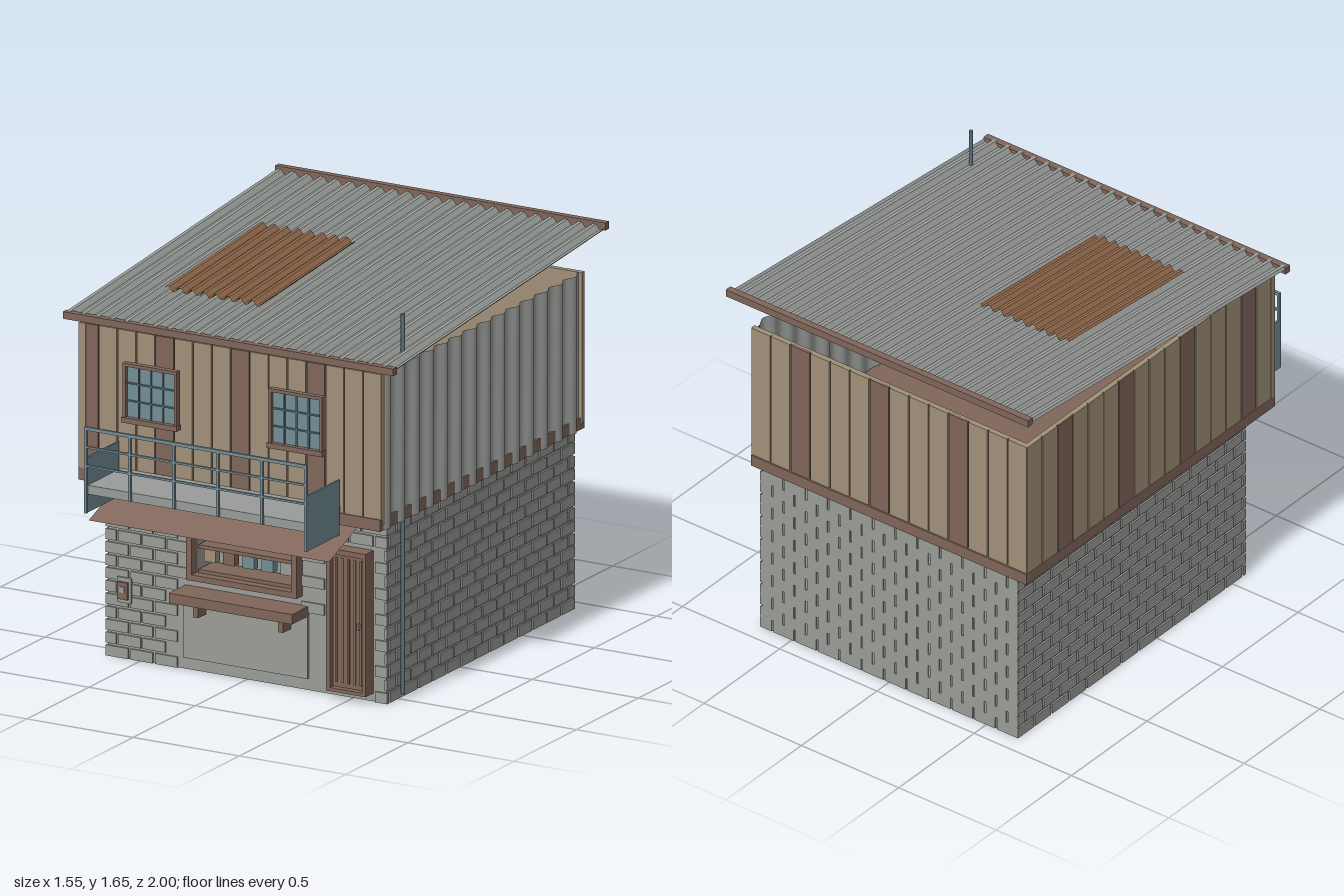
import * as THREE from 'three';
import { mergeGeometries } from 'three/addons/utils/BufferGeometryUtils.js';

const mat = (name, color, side = THREE.FrontSide) => {
  const m = new THREE.MeshStandardMaterial({ color, side });
  m.name = name;
  return m;
};

export function createModel() {
  const root = new THREE.Group();
  root.name = 'shopHouse';
  const concrete = mat('concreteGrey', 0x9a9c97);
  const metal = mat('sheetMetalGrey', 0x989c99, THREE.DoubleSide);
  const tan = mat('tanWood', 0xa09078);
  const brown = mat('brownWood', 0x80665a, THREE.DoubleSide);
  const blue = mat('paintedBlue', 0x738d95);
  const pipeBlue = mat('pipeBlue', 0x5a727a);
  const rust = mat('rustBrown', 0x946a4c, THREE.DoubleSide);

  const add = (name, geo, material, parent = root) => {
    const m = new THREE.Mesh(geo, material);
    m.name = name;
    parent.add(m);
    return m;
  };
  // Box given by its minimum and maximum on each axis
  const span = (x0, x1, y0, y1, z0, z1) =>
    new THREE.BoxGeometry(x1 - x0, y1 - y0, z1 - z0).translate((x0 + x1) / 2, (y0 + y1) / 2, (z0 + z1) / 2);
  const box = (name, material, ...s) => add(name, span(...s), material);
  const rect = (P, x0, x1, y0, y1) => new P([[x0, y0], [x1, y0], [x1, y1], [x0, y1]].map(p => new THREE.Vector2(...p)));
  // Rectangular slab with a rectangular hole, standing at z
  const framed = (outer, inner, z, depth) => {
    const s = rect(THREE.Shape, ...outer);
    s.holes.push(rect(THREE.Path, ...inner));
    return new THREE.ExtrudeGeometry(s, { depth, bevelEnabled: false }).translate(0, 0, z);
  };
  // Corrugated sheet lying in xz, ridges along z
  const corrugated = (w, l, waves, amp, sharp) => {
    const g = new THREE.PlaneGeometry(w, l, waves * 8, 1).rotateX(-Math.PI / 2);
    const p = g.attributes.position;
    for (let i = 0; i < p.count; i++) {
      const s = Math.sin((p.getX(i) / w + 0.5) * waves * Math.PI * 2) * sharp;
      p.setY(i, amp * Math.max(-1, Math.min(1, s)));
    }
    const out = sharp > 1 ? g.toNonIndexed() : g;
    out.computeVertexNormals();
    return out;
  };

  // Ground floor: solid body, front wall with the shop opening
  box('groundFloorBody', concrete, -0.655, 0.655, 0, 0.78, -0.915, 0.46);
  add('groundFloorFront', framed([-0.655, 0.655, 0, 0.78], [-0.235, 0.235, 0.42, 0.69], 0.46, 0.122), concrete);

  // Block courses, laid along u on a wall, skipping given rectangles
  const blocks = (name, u0, u1, gapY, place, skip = []) => {
    const list = [], rows = 14, h = 0.77 / rows, len = 0.115, gap = 0.01;
    for (let r = 0; r < rows; r++) {
      for (let u = u0 - (r % 2) * len / 2; u < u1 - 0.001; u += len) {
        const a = Math.max(u, u0), b = Math.min(u + len - gap, u1), y = r * h;
        if (b - a < 0.015) continue;
        if (skip.some(k => b > k[0] && a < k[1] && y + h > k[2] && y < k[3])) continue;
        list.push(place(a, b, y, y + h - gapY));
      }
    }
    add(name, mergeGeometries(list), concrete);
  };
  blocks('frontBlocks', -0.66, 0.66, 0.01, (a, b, c, d) => span(a, b, c, d, 0.575, 0.59),
    [[-0.3, 0.295, 0.05, 0.31], [-0.24, 0.24, 0.31, 0.7], [0.42, 0.585, 0.04, 0.63]]);
  blocks('backBlocks', -0.66, 0.66, 0, (a, b, c, d) => span(a, b, c, d, -0.92, -0.91));
  for (const s of [-1, 1])
    blocks(s > 0 ? 'leftBlocks' : 'rightBlocks', -0.92, 0.59, 0.01,
      (a, b, c, d) => span(s * 0.657 - 0.006, s * 0.657 + 0.006, c, d, a, b));

  // Shop front: panel, counter, brackets, window frame, shelves and goods
  box('counterPanel', concrete, -0.295, 0.29, 0.05, 0.315, 0.57, 0.594);
  box('counter', brown, -0.29, 0.29, 0.315, 0.357, 0.58, 0.717);
  for (const x of [-0.2, 0.2]) box('counterBracket', brown, x - 0.012, x + 0.012, 0.25, 0.315, 0.59, 0.655);
  add('shopFrame', framed([-0.26, 0.26, 0.395, 0.712], [-0.235, 0.235, 0.42, 0.685], 0.575, 0.055), brown);
  for (const y of [0.427, 0.532, 0.62]) box('shopShelf', brown, -0.225, 0.225, y - 0.008, y + 0.008, 0.47, 0.59);
  [tan, brown, blue, blue, metal].forEach((m, i) => {
    const x = (i - 2) * 0.09;
    box('shopGoods', m, x - 0.027, x + 0.027, 0.468, 0.524, 0.54, 0.575);
  });

  // Door
  add('doorFrame', framed([0.41, 0.595, 0.035, 0.642], [0.427, 0.578, 0.05, 0.62], 0.58, 0.068), brown);
  box('door', brown, 0.425, 0.58, 0.045, 0.625, 0.58, 0.62);
  for (let i = 0; i < 5; i++) {
    const x = 0.443 + i * 0.029;
    box('doorStrip', i % 2 ? tan : brown, x - 0.004, x + 0.004, 0.07, 0.6, 0.62, 0.626);
  }
  box('doorHandle', metal, 0.548, 0.556, 0.31, 0.335, 0.62, 0.64);

  // Meter box
  box('meterBack', concrete, -0.602, -0.537, 0.24, 0.347, 0.585, 0.6);
  box('meterCase', brown, -0.594, -0.548, 0.257, 0.33, 0.6, 0.612);
  box('meterDial', metal, -0.582, -0.56, 0.287, 0.312, 0.612, 0.617);

  // Upper floor slab
  box('floorBeam', brown, -0.712, 0.705, 0.775, 0.825, -0.927, 0.72);

  // Plank walls: thin backing with separate boards
  const planks = (name, u0, u1, n, dark, place) => {
    const sets = [[], []], w = (u1 - u0) / n;
    for (let i = 0; i < n; i++) sets[i % 4 === dark ? 1 : 0].push(place(u0 + i * w + 0.003, u0 + (i + 1) * w - 0.003));
    add(name, mergeGeometries(sets[0]), tan);
    add(name + 'Dark', mergeGeometries(sets[1]), brown);
  };
  box('frontWall', tan, -0.705, 0.71, 0.8, 1.443, 0.688, 0.706);
  planks('frontPlanks', -0.711, 0.711, 16, 0, (a, b) => span(a, b, 0.82, 1.443, 0.7, 0.715));
  box('cornerPost', tan, -0.713, -0.68, 0.825, 1.443, 0.69, 0.719);
  box('backWall', tan, -0.705, 0.71, 0.8, 1.443, -0.912, -0.895);
  planks('backPlanks', 0.711, -0.711, 14, 2, (a, b) => span(b + 0.006, a - 0.006, 0.81, 1.443, -0.92, -0.905));
  box('rightWall', tan, -0.704, -0.688, 0.8, 1.443, -0.91, 0.7);
  planks('rightPlanks', -0.92, 0.7, 16, 2, (a, b) => span(-0.711, -0.698, 0.82, 1.443, a, b));

  // Corrugated left wall, overlapping the beam
  const side = corrugated(1.61, 0.668, 14, 0.011, 1);
  side.rotateX(Math.PI / 2).rotateY(Math.PI / 2);
  add('corrugatedWall', side, metal).position.set(0.705, 1.109, -0.115);

  // Roof: sloping sheet, patch and edge boards
  const slope = Math.atan2(0.15, 1.71);
  const roof = new THREE.Group();
  roof.name = 'roof';
  roof.position.set(0, 1.55, -0.135);
  roof.rotation.x = slope;
  root.add(roof);
  add('roofSheet', corrugated(1.55, 1.715, 23, 0.01, 1.6), metal, roof);
  add('roofPatch', corrugated(0.452, 0.765, 8, 0.01, 1.3), rust, roof).position.set(-0.284, 0.023, 0.126);
  box('frontFascia', brown, -0.777, 0.777, 1.453, 1.483, 0.705, 0.736);
  box('backFascia', brown, -0.777, 0.777, 1.613, 1.645, -1, -0.97);

  // Windows with frame, sill, pane and bars
  for (const x of [-0.352, 0.333]) {
    add('windowFrame', framed([x - 0.127, x + 0.127, 1.075, 1.32], [x - 0.114, x + 0.114, 1.09, 1.306], 0.738, 0.027), brown);
    box('windowSill', brown, x - 0.13, x + 0.13, 1.068, 1.09, 0.735, 0.772);
    box('windowPane', blue, x - 0.117, x + 0.117, 1.085, 1.31, 0.742, 0.75);
    box('windowInside', blue, x - 0.117, x + 0.117, 1.085, 1.31, 0.683, 0.69);
    for (const k of [-1, 0, 1]) box('windowBar', pipeBlue, x + k * 0.057 - 0.003, x + k * 0.057 + 0.003, 1.09, 1.306, 0.75, 0.757);
    for (const y of [1.16, 1.2, 1.235].filter((_, i) => i !== 1))
      box('windowCrossBar', pipeBlue, x - 0.114, x + 0.114, y - 0.003, y + 0.003, 0.75, 0.757);
  }

  // Balcony: floor, end panels, railing
  box('balconyFloor', metal, -0.515, 0.515, 0.815, 0.853, 0.715, 0.985);
  for (const s of [-1, 1]) box('balconyEndPanel', blue, s * 0.519 - 0.004, s * 0.519 + 0.004, 0.737, 0.972, 0.733, 1);
  for (let i = 0; i < 6; i++) {
    const x = -0.518 + i * 0.2072;
    const low = i % 5 === 0 ? 0.737 : 0.82;
    box('railingPost', blue, x - 0.006, x + 0.006, low, 1.1, 0.988, 1);
  }
  for (const [y, t] of [[1.097, 0.007], [1.018, 0.004], [0.938, 0.004]])
    box('railing', blue, -0.524, 0.524, y - t, y + t, 0.988, 1);

  // Sloping awning sheet under the balcony
  const awning = new THREE.PlaneGeometry(1.13, Math.hypot(0.29, 0.11));
  awning.rotateX(-Math.atan2(0.29, 0.11));
  add('awning', awning, brown).position.set(0, 0.725, 0.745);

  // Standing pipe
  add('pipe', new THREE.CylinderGeometry(0.009, 0.009, 1.615, 10), pipeBlue).position.set(0.695, 0.84, 0.518);
  return root;
}
